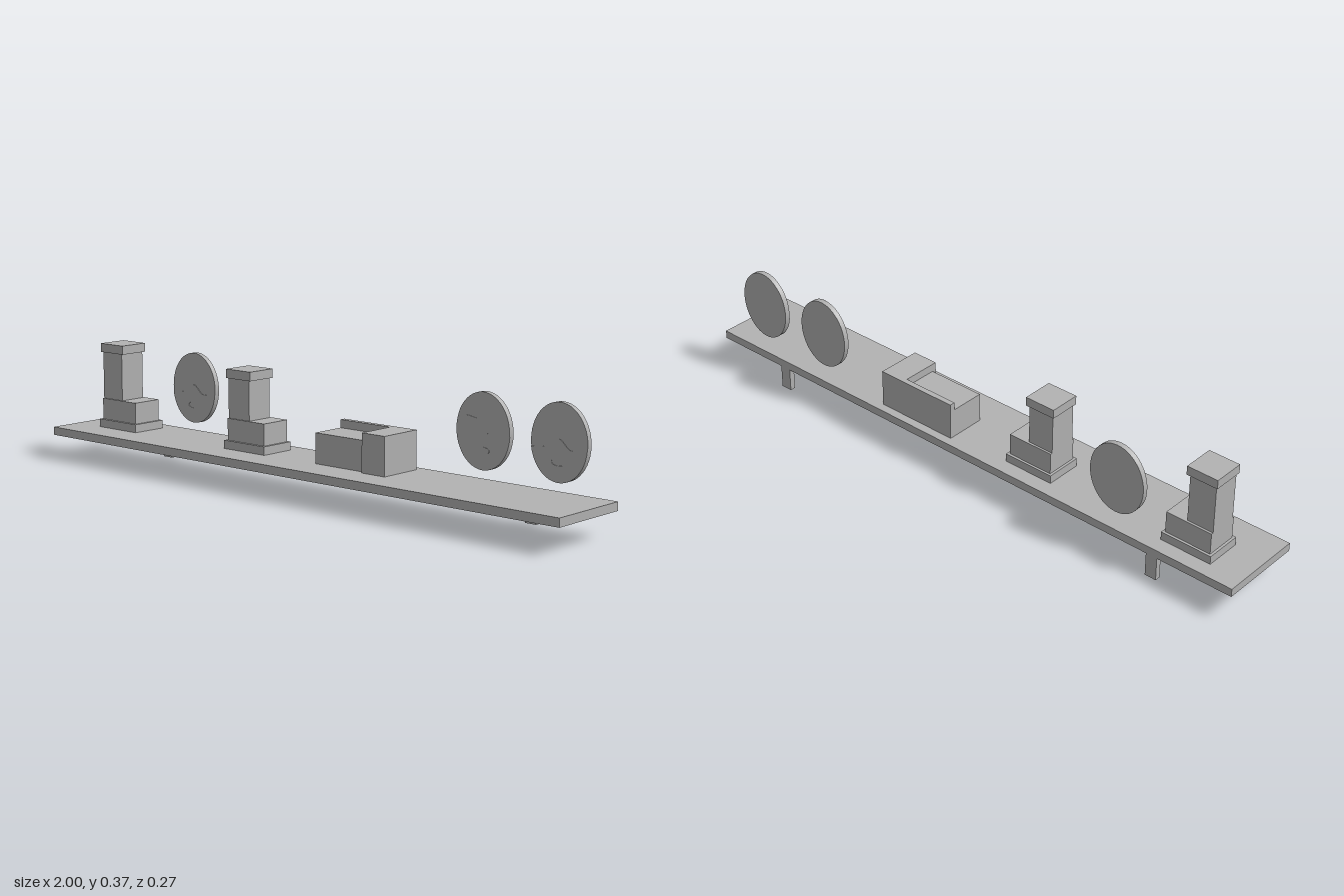
import * as THREE from 'three';

export function createModel() {
  const model = new THREE.Group();
  const grey = new THREE.MeshStandardMaterial({ color: 0xb2b2b2 });
  grey.name = 'plain grey';

  function add(parent, name, geometry) {
    const mesh = new THREE.Mesh(geometry, grey);
    mesh.name = name;
    parent.add(mesh);
    return mesh;
  }
  // Box given by its limits on each axis
  function box(parent, name, [x0, x1], [y0, y1], [z0, z1]) {
    const mesh = add(parent, name, new THREE.BoxGeometry(x1 - x0, y1 - y0, z1 - z0));
    mesh.position.set((x0 + x1) / 2, (y0 + y1) / 2, (z0 + z1) / 2);
  }
  function group(name) {
    const g = new THREE.Group();
    g.name = name;
    model.add(g);
    return g;
  }

  // Shelf board
  box(model, 'shelfBoard', [-1, 1], [0.075, 0.101], [-0.136, 0.136]);

  // L-shaped brackets under the shelf
  for (const x of [-0.73, 0.725]) {
    const bracket = group('bracket');
    box(bracket, 'bracketArm', [x - 0.019, x + 0.019], [0.057, 0.075], [-0.118, 0.065]);
    box(bracket, 'bracketLeg', [x - 0.019, x + 0.019], [0, 0.075], [-0.136, -0.118]);
  }

  // Two chimney-like towers, the outer one slightly taller
  for (const [x, top] of [[-0.884, 0.374], [-0.317, 0.347]]) {
    const tower = group('tower');
    box(tower, 'towerPlinth', [x - 0.008, x + 0.161], [0.101, 0.127], [-0.087, 0.031]);
    box(tower, 'towerBody', [x, x + 0.153], [0.127, 0.195], [-0.079, 0.023]);
    box(tower, 'towerColumn', [x, x + 0.087], [0.195, top - 0.028], [-0.072, 0.018]);
    box(tower, 'towerCap', [x - 0.006, x + 0.096], [top - 0.028, top], [-0.077, 0.023]);
  }

  // Low bench with a back rail and one deep end block
  const bench = group('bench');
  box(bench, 'benchSeat', [0.044, 0.236], [0.101, 0.194], [-0.09, 0.022]);
  box(bench, 'benchBack', [0.044, 0.236], [0.101, 0.219], [-0.108, -0.09]);
  box(bench, 'benchEnd', [0.236, 0.322], [0.101, 0.219], [-0.108, 0.036]);

  // Oval plaques with a thin relief on the front
  const RX = 0.094, RY = 0.112;
  const wave = [[-0.06, -0.017], [-0.035, -0.013], [0, 0.01], [0.035, -0.016], [0.065, -0.016]];
  const curl = [[-0.005, 0.04], [-0.06, 0.04], [-0.075, 0.02], [-0.05, -0.003],
    [-0.005, -0.012], [0.035, 0], [0.06, -0.015]];

  function relief(points, startAngle, endAngle, clockwise) {
    const shape = new THREE.Shape();
    shape.absellipse(0, 0, RX, RY, startAngle, endAngle, clockwise, 0);
    const end = new THREE.Vector2(RX * Math.cos(startAngle), RY * Math.sin(startAngle));
    shape.splineThru([...points.map(([x, y]) => new THREE.Vector2(x, y)), end]);
    return shape;
  }
  function reliefGeometry(shape) {
    return new THREE.ExtrudeGeometry(shape, { depth: 0.0015, bevelEnabled: false, curveSegments: 24 });
  }

  for (const [x, curled] of [[-0.577, false], [0.575, true], [0.835, false]]) {
    const plaque = group('ovalPlaque');
    plaque.position.set(x, 0.248, -0.0905);
    const disc = new THREE.CylinderGeometry(1, 1, 0.017, 48);
    disc.rotateX(Math.PI / 2);
    disc.scale(RX, RY, 1);
    add(plaque, 'plaqueDisc', disc).position.z = -0.0085;

    if (curled) {
      // Curling field on the upper right, with a separate small oval
      add(plaque, 'plaqueRelief', reliefGeometry(relief(curl, -0.05, Math.PI / 2, false).clone && (() => {
        const s = new THREE.Shape();
        s.absellipse(0, 0, RX, RY, -0.05, Math.PI / 2, false, 0);
        s.splineThru([...curl.map(([px, py]) => new THREE.Vector2(px, py)),
          new THREE.Vector2(RX * Math.cos(-0.05), RY * Math.sin(-0.05))]);
        return s;
      })()));
      const oval = new THREE.Shape();
      oval.absellipse(0, -0.055, 0.024, 0.01, 0, Math.PI * 2, false, 0);
      add(plaque, 'plaqueOval', reliefGeometry(oval));
    } else {
      // Wavy lower field with an oval opening
      const lower = relief(wave, -0.05, -Math.PI + 0.18, true);
      const opening = new THREE.Path();
      opening.absellipse(0, -0.055, 0.024, 0.01, 0, Math.PI * 2, false, 0);
      lower.holes.push(opening);
      add(plaque, 'plaqueRelief', reliefGeometry(lower));
    }
  }

  return model;
}
